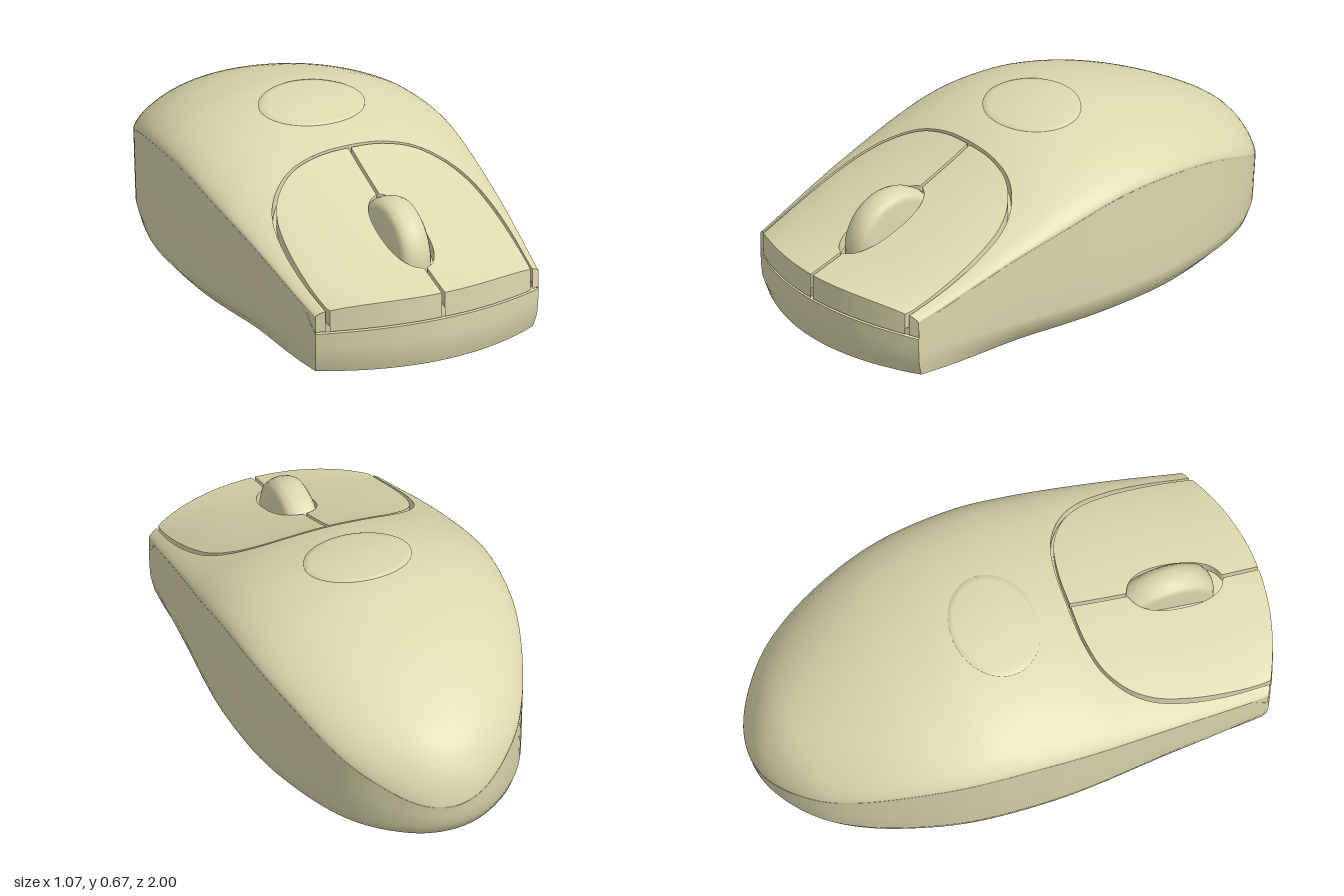
import * as THREE from 'three';

const material = new THREE.MeshStandardMaterial({ color: 0xddd9ae, side: THREE.DoubleSide });
const { lerp, smoothstep } = THREE.MathUtils;
const V = (x, y, z) => new THREE.Vector3(x, y, z);

// Smooth height or width along z, from [z, value] points
function profile(points) {
  const s = new THREE.SplineCurve(points.map(p => new THREE.Vector2(...p))).getPoints(300);
  return z => {
    if (z <= s[0].x) return s[0].y;
    for (let i = 1; i < s.length; i++) {
      if (z <= s[i].x) return lerp(s[i - 1].y, s[i].y, (z - s[i - 1].x) / (s[i].x - s[i - 1].x || 1));
    }
    return s[s.length - 1].y;
  };
}

// Symmetric plan curve from its +x half, running from +x front to -x front
function planCurve(half) {
  const mirrored = half.slice(0, -1).reverse().map(([x, z]) => [-x, z]);
  const curve = new THREE.CatmullRomCurve3([...half, ...mirrored].map(([x, z]) => V(x, 0, z)), false, 'centripetal');
  curve.arcLengthDivisions = 800;
  return curve;
}

const sideHalf = [[.465, .87], [.485, .7], [.505, .5], [.53, .2], [.535, 0], [.512, -.3], [.465, -.5],
  [.39, -.7], [.31, -.83], [.2, -.93], [.1, -.983], [0, -1]];
const outline = planCurve(sideHalf);
const arch = planCurve([[.43, .886], [.443, .7], [.437, .55], [.41, .43], [.36, .35], [.27, .285], [.15, .256], [0, .25]]);

const halfWidth = profile(outline.getPoints(400).slice(0, 201).reverse().map(p => [p.z, p.x]));
const crown = profile([[-1, .19], [-.985, .27], [-.95, .345], [-.87, .435], [-.7, .535], [-.5, .615], [-.3, .66],
  [-.18, .67], [0, .658], [.2, .608], [.35, .54], [.5, .473], [.8, .348], [1, .28]]);
const rim = profile([[-1, .19], [-.9, .27], [-.8, .33], [-.6, .42], [-.4, .475], [-.2, .495], [0, .485], [.2, .44],
  [.5, .355], [.87, .225], [1, .2]]);

// Height of the domed upper surface
function dome(x, z) {
  const t = Math.max(0, 1 - (x / Math.max(halfWidth(z), 1e-4)) ** 2);
  return lerp(rim(z), crown(z), t ** .65);
}
const frontZ = x => 1 - .13 * (x / .465) ** 2;
const frontSeam = x => .18 - .02 * (x / .465) ** 2;
const sideSeam = z => lerp(rim(z) - .006, .158, smoothstep(z, .8, .87));

// Grid surface through f(u, v)
function patch(name, nu, nv, f, flip = false) {
  const pos = [], index = [];
  for (let i = 0; i <= nu; i++) for (let j = 0; j <= nv; j++) pos.push(...f(i / nu, j / nv).toArray());
  for (let i = 0; i < nu; i++) for (let j = 0; j < nv; j++) {
    const a = i * (nv + 1) + j, b = a + nv + 1;
    index.push(...(flip ? [a, b + 1, b, a, a + 1, b + 1] : [a, b, b + 1, a, b + 1, a + 1]));
  }
  const g = new THREE.BufferGeometry();
  g.setAttribute('position', new THREE.Float32BufferAttribute(pos, 3));
  g.setIndex(index);
  g.computeVertexNormals();
  const mesh = new THREE.Mesh(g, material);
  mesh.name = name;
  return mesh;
}
// Strip between an upper and a lower edge
const wall = (name, n, top, bottom, flip) => patch(name, n, 1, (u, v) => top(u).lerp(bottom(u), v), flip);

// Upper shell: lofted from the button arch out to the rim
function makeShell() {
  const group = new THREE.Group();
  group.name = 'upperShell';
  const archTop = u => { const p = arch.getPointAt(u); return V(p.x, dome(p.x, p.z), p.z); };
  const rimEdge = u => { const p = outline.getPointAt(u); return V(p.x, rim(p.z), p.z); };
  group.add(patch('shellTop', 128, 32, (u, v) => {
    if (v === 1) return rimEdge(u);
    const p = arch.getPointAt(u).lerp(outline.getPointAt(u), Math.sin(v * Math.PI / 2));
    return V(p.x, dome(p.x, p.z), p.z);
  }, true));
  group.add(wall('archWall', 96, archTop, u => archTop(u).add(V(0, -.06, 0)), true));
  group.add(wall('rimSkirt', 128, rimEdge, u => {
    const p = outline.getPointAt(u);
    return V(p.x * .993, sideSeam(p.z) - .03, p.z * .993);
  }));
  for (const s of [1, -1]) {
    const end = t => V(s * lerp(.43, .465, t), 0, lerp(.886, .87, t));
    group.add(wall('frontCorner', 4,
      t => { const p = end(t); return p.setY(dome(p.x, p.z)); },
      t => { const p = end(t); return p.setY(frontSeam(p.x) + .004); }, s < 0));
  }
  return group;
}

// Half of the button area, with an optional centre gap and wheel opening
function buttonPoint(u, v, s, drop, solid) {
  const scale = solid ? 1 : .97;
  const edge = arch.getPointAt(.5 - u / 2);
  const z0 = lerp(solid ? .25 : .262, 1, u);
  const bulge = Math.max(0, 1 - Math.abs((z0 - .655) / .168) ** 2.4);
  const x0 = solid ? 0 : Math.max(.006, .09 * Math.sqrt(bulge));
  const ex = Math.max(edge.x * scale, solid ? 0 : .006);
  const ez = solid ? edge.z : edge.z + .012 * (1 - u);
  const x = lerp(x0, ex, v);
  const z = lerp(lerp(z0, ez, v), frontZ(x) - (solid ? .02 : 0), u ** 6);
  return V(s * x, dome(x, z) - drop, z);
}

function makeButton(s) {
  const group = new THREE.Group();
  group.name = s > 0 ? 'leftButton' : 'rightButton';
  const top = (u, v) => buttonPoint(u, v, s, 0, false);
  const low = (u, v) => buttonPoint(u, v, s, .06, false);
  group.add(patch('buttonTop', 80, 20, top, s < 0));
  group.add(wall('innerWall', 80, u => top(u, 0), u => low(u, 0), s > 0));
  group.add(wall('outerWall', 80, u => top(u, 1), u => low(u, 1), s < 0));
  group.add(wall('frontFace', 20, v => top(1, v), v => {
    const p = top(1, v);
    return p.setY(frontSeam(p.x) + .004);
  }, s > 0));
  // Recessed floor under the button
  const floor = (u, v) => buttonPoint(u, v, s, .055, true);
  group.add(patch('grooveFloor', 40, 16, floor, s < 0));
  group.add(wall('floorFront', 16, v => floor(1, v), v => floor(1, v).setY(.1), s > 0));
  return group;
}

// Base: walls tucked in towards a flat underside
const baseRows = [[0, 1], [.05, .3], [.1, .1], [.5, .05], [1, 0], [1, -1]];
function basePoint(p, top, row) {
  const [h, tuck] = baseRows[row];
  const k = tuck < 0 ? .03 : tuck * lerp(.12, .025, smoothstep(p.z, .35, .9));
  const y = row === 3 ? lerp(.1, top, .5) : h === 1 ? top : Math.min(h, top);
  return V(p.x * (1 - k), y, p.z * (1 - k));
}
function makeBase() {
  const group = new THREE.Group();
  group.name = 'base';
  const n = baseRows.length - 2;
  const side = (u, r) => { const p = outline.getPointAt(u); return basePoint(p, sideSeam(p.z), r); };
  const front = (u, r) => {
    const x = lerp(-.465, .465, u);
    return basePoint(V(x, 0, frontZ(x)), frontSeam(x) - .004, r);
  };
  for (const [label, f, count] of [['side', side, 128], ['front', front, 24]]) {
    group.add(patch(label + 'Wall', count, n, (u, v) => f(u, Math.round(v * n))));
    group.add(wall(label + 'Lip', count, u => f(u, n), u => f(u, n + 1)));
  }
  // Flat underside
  const loop = [];
  for (let i = 0; i < 128; i++) loop.push(side(i / 128, 0));
  for (let i = 0; i < 24; i++) loop.push(front(i / 24, 0));
  const g = new THREE.ShapeGeometry(new THREE.Shape(loop.map(p => new THREE.Vector2(p.x, p.z))));
  g.rotateX(Math.PI / 2);
  const underside = new THREE.Mesh(g, material);
  underside.name = 'underside';
  group.add(underside);
  return group;
}

// Scroll wheel with a rounded tread
function makeWheel() {
  const pts = [[0, -.062], [.165, -.062], [.185, -.05], [.196, -.028], [.2, 0], [.196, .028], [.185, .05], [.165, .062], [0, .062]];
  const g = new THREE.LatheGeometry(pts.map(p => new THREE.Vector2(...p)), 40);
  g.rotateZ(Math.PI / 2);
  const wheel = new THREE.Mesh(g, material);
  wheel.name = 'scrollWheel';
  wheel.position.set(0, .314, .62);
  return wheel;
}

// Plain oval inlay on the crest
function makeInlay() {
  return patch('ovalInlay', 48, 10, (u, v) => {
    const a = u * Math.PI * 2, r = Math.min(1, v / .9);
    const x = .205 * r * Math.cos(a), z = -.037 + .165 * r * Math.sin(a);
    return V(x, dome(x, z) + (v > .95 ? -.006 : .004), z);
  });
}

export function createModel() {
  const model = new THREE.Group();
  model.name = 'computerMouse';
  model.add(makeBase(), makeShell(), makeButton(1), makeButton(-1), makeWheel(), makeInlay());
  return model;
}
